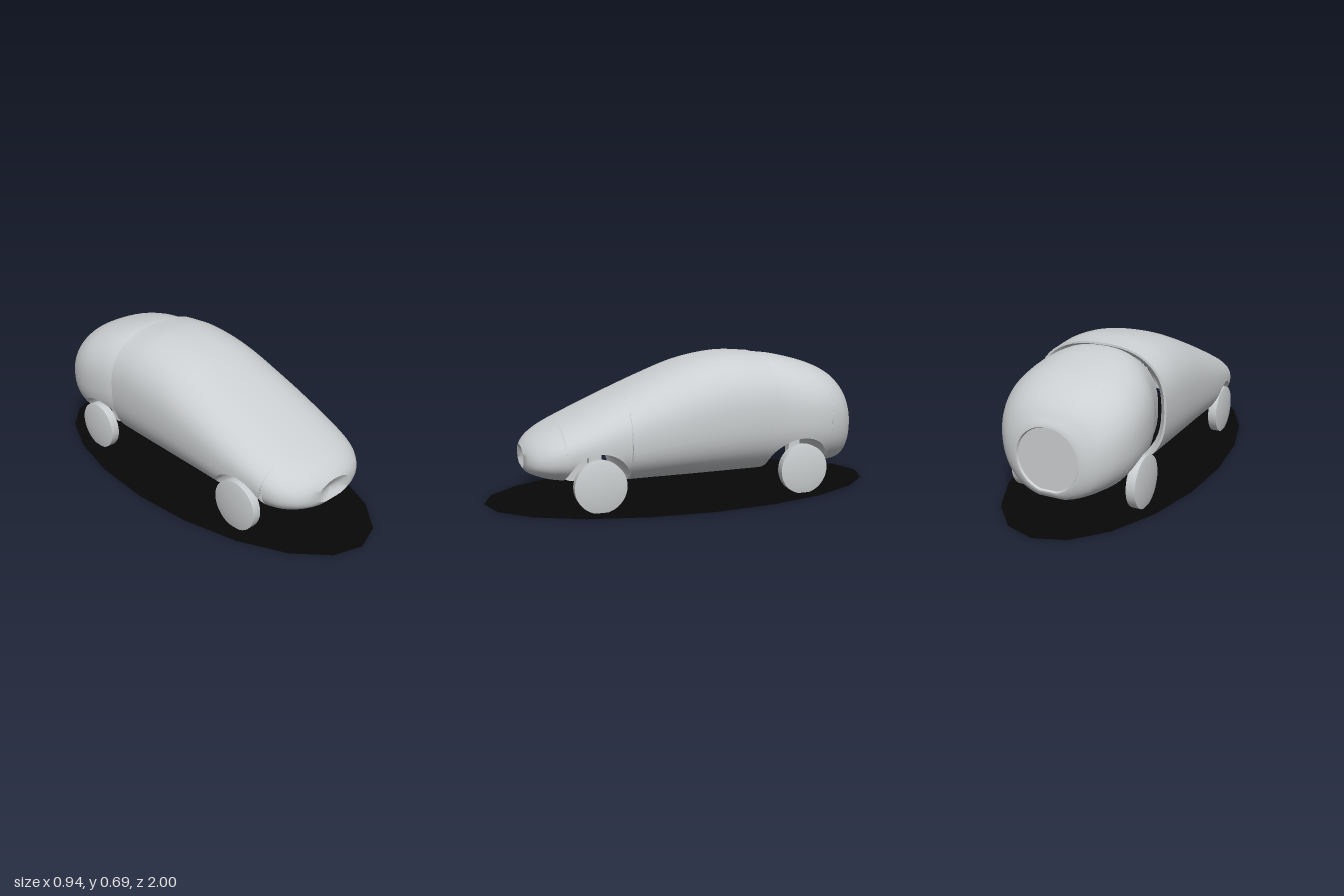
import * as THREE from 'three';
import { toCreasedNormals } from 'three/addons/utils/BufferGeometryUtils.js';

const ARCH_Z = [0.5, -0.53], ARCH_R = 0.15, ARCH_Y = 0.13;

// Smooth interpolation of cross-section keys [z, halfWidth, bottom, middle, top, roundness]
function sampleKeys(keys, z) {
  let i = 0;
  while (i < keys.length - 2 && z < keys[i + 1][0]) i++;
  const a = keys[i], b = keys[i + 1], h = b[0] - a[0], t = (z - a[0]) / h;
  const slope = (k, c) => {
    const p = keys[Math.max(k - 1, 0)], q = keys[Math.min(k + 1, keys.length - 1)];
    return (q[c] - p[c]) / (q[0] - p[0]);
  };
  return a.map((v, c) => {
    if (c === 0) return z;
    const t2 = t * t, t3 = t2 * t;
    return v * (2 * t3 - 3 * t2 + 1) + b[c] * (3 * t2 - 2 * t3)
      + h * (slope(i, c) * (t3 - 2 * t2 + t) + slope(i + 1, c) * (t3 - t2));
  });
}

// One rounded cross-section, cut off flat at the floor or the wheel arch
function section([z, w, bottom, mid, top, n]) {
  let floor = bottom + 0.006;
  for (const az of ARCH_Z) {
    const d = Math.abs(z - az);
    if (d < ARCH_R) floor = Math.max(floor, ARCH_Y + Math.sqrt(ARCH_R ** 2 - d * d));
  }
  const pw = (v, e) => Math.sign(v) * Math.abs(v) ** e;
  const f = floor - mid;
  const start = Math.asin(pw(f / (f > 0 ? top - mid : mid - bottom), n / 2));
  const pts = [], N = 48, M = 8;
  for (let i = 0; i <= N; i++) {
    const a = start + (Math.PI - 2 * start) * i / N, s = Math.sin(a);
    pts.push([w * pw(Math.cos(a), 2 / n), mid + (s > 0 ? top - mid : mid - bottom) * pw(s, 2 / n), z]);
  }
  const edge = pts[0][0];
  for (let i = 1; i < M; i++) pts.push([-edge + 2 * edge * i / M, floor, z]);
  return pts;
}

// Loft through all sections; caps are [z, scale] rings shrunk from the end sections
function shell(keys, startCap, endCap) {
  const z0 = keys[0][0], z1 = keys[keys.length - 1][0], zs = [];
  for (let i = 0; i <= 90; i++) zs.push(z0 + (z1 - z0) * i / 90);
  for (const az of ARCH_Z) for (const s of [-1, 1]) for (const e of [0.1501, 0.1499, 0.147, 0.143]) {
    const z = az + s * e;
    if (z < z0 && z > z1) zs.push(z);
  }
  zs.sort((a, b) => b - a);
  const rings = zs.map(z => section(sampleKeys(keys, z)));
  const shrink = (ring, key, [z, s]) => ring.map(p => {
    const cy = (key[2] + key[4]) / 2;
    return [p[0] * s, cy + (p[1] - cy) * s, z];
  });
  const first = rings[0], last = rings[rings.length - 1];
  rings.unshift(...startCap.map(c => shrink(first, keys[0], c)));
  rings.push(...endCap.map(c => shrink(last, keys[keys.length - 1], c)));
  const n = first.length, index = [];
  for (let i = 0; i < rings.length - 1; i++) for (let j = 0; j < n; j++) {
    const k = (j + 1) % n, a = i * n + j, b = i * n + k, c = a + n, d = b + n;
    index.push(a, c, b, b, c, d);
  }
  const g = new THREE.BufferGeometry();
  g.setAttribute('position', new THREE.Float32BufferAttribute(rings.flat(2), 3));
  g.setIndex(index);
  return toCreasedNormals(g, 0.7);
}

export function createModel() {
  const grey = new THREE.MeshStandardMaterial({ color: 0xcccfd1 });
  grey.name = 'lightGrey';
  const black = new THREE.MeshStandardMaterial({ color: 0x080808, side: THREE.DoubleSide });
  black.name = 'black';
  const model = new THREE.Group();
  const add = (name, geo, mat = grey, parent = model) => {
    const m = new THREE.Mesh(geo, mat);
    m.name = name;
    parent.add(m);
    return m;
  };

  // Sloping front shell with a dented nose
  add('frontBody', shell([
    [0.82, 0.11, 0.175, 0.225, 0.28, 2],
    [0.805, 0.165, 0.16, 0.225, 0.30, 2.1],
    [0.77, 0.225, 0.145, 0.23, 0.33, 2.2],
    [0.70, 0.28, 0.125, 0.245, 0.37, 2.3],
    [0.58, 0.31, 0.11, 0.27, 0.425, 2.4],
    [0.40, 0.328, 0.098, 0.30, 0.505, 2.5],
    [0.20, 0.336, 0.094, 0.34, 0.59, 2.5],
    [0.00, 0.34, 0.092, 0.375, 0.662, 2.5],
    [-0.20, 0.34, 0.092, 0.395, 0.694, 2.5],
    [-0.36, 0.335, 0.092, 0.40, 0.686, 2.5],
  ], [[0.795, 0.001], [0.806, 0.5]], [[-0.361, 0.97], [-0.34, 0.9]]));

  // Rounded tail with a recessed round rear panel
  add('rearBody', shell([
    [-0.28, 0.26, 0.11, 0.38, 0.64, 2.4],
    [-0.36, 0.282, 0.10, 0.39, 0.675, 2.4],
    [-0.45, 0.315, 0.096, 0.39, 0.672, 2.4],
    [-0.56, 0.33, 0.096, 0.38, 0.65, 2.4],
    [-0.66, 0.322, 0.096, 0.365, 0.62, 2.4],
    [-0.75, 0.288, 0.098, 0.345, 0.577, 2.3],
    [-0.81, 0.24, 0.103, 0.325, 0.525, 2.2],
    [-0.84, 0.195, 0.118, 0.31, 0.48, 2.1],
    [-0.855, 0.158, 0.14, 0.30, 0.455, 2],
  ], [[-0.28, 0.001]], [[-0.856, 0.95], [-0.846, 0.92], [-0.846, 0.001]]));

  // Wheels with a shallow domed outer face, and inner struts
  const profile = [[0, -0.022], [0.1225, -0.022], [0.1235, -0.018], [0.1235, 0.022],
    [0.112, 0.025], [0.075, 0.031], [0.035, 0.034], [0, 0.035]];
  const wheelGeo = toCreasedNormals(
    new THREE.LatheGeometry(profile.map(p => new THREE.Vector2(...p)), 40), 0.6);
  const strutGeo = new THREE.BoxGeometry(0.04, 0.18, 0.06);
  for (const [end, z, sz] of [['front', 0.5, 0.5], ['rear', -0.53, -0.53]])
    for (const [side, s] of [['Left', 1], ['Right', -1]]) {
      const wheel = add(`${end}${side}Wheel`, wheelGeo);
      wheel.rotation.z = -s * Math.PI / 2;
      wheel.position.set(s * 0.292, 0.1235, z);
      add(`${end}${side}Strut`, strutGeo).position.set(s * 0.175, 0.205, sz);
    }

  // Oval base plate, twenty-sided, just above the wheel bottoms
  const base = add('ovalBase', new THREE.CircleGeometry(1, 20), black);
  base.rotation.x = -Math.PI / 2;
  base.scale.set(0.47, 1, 1);
  base.position.y = 0.004;
  return model;
}
